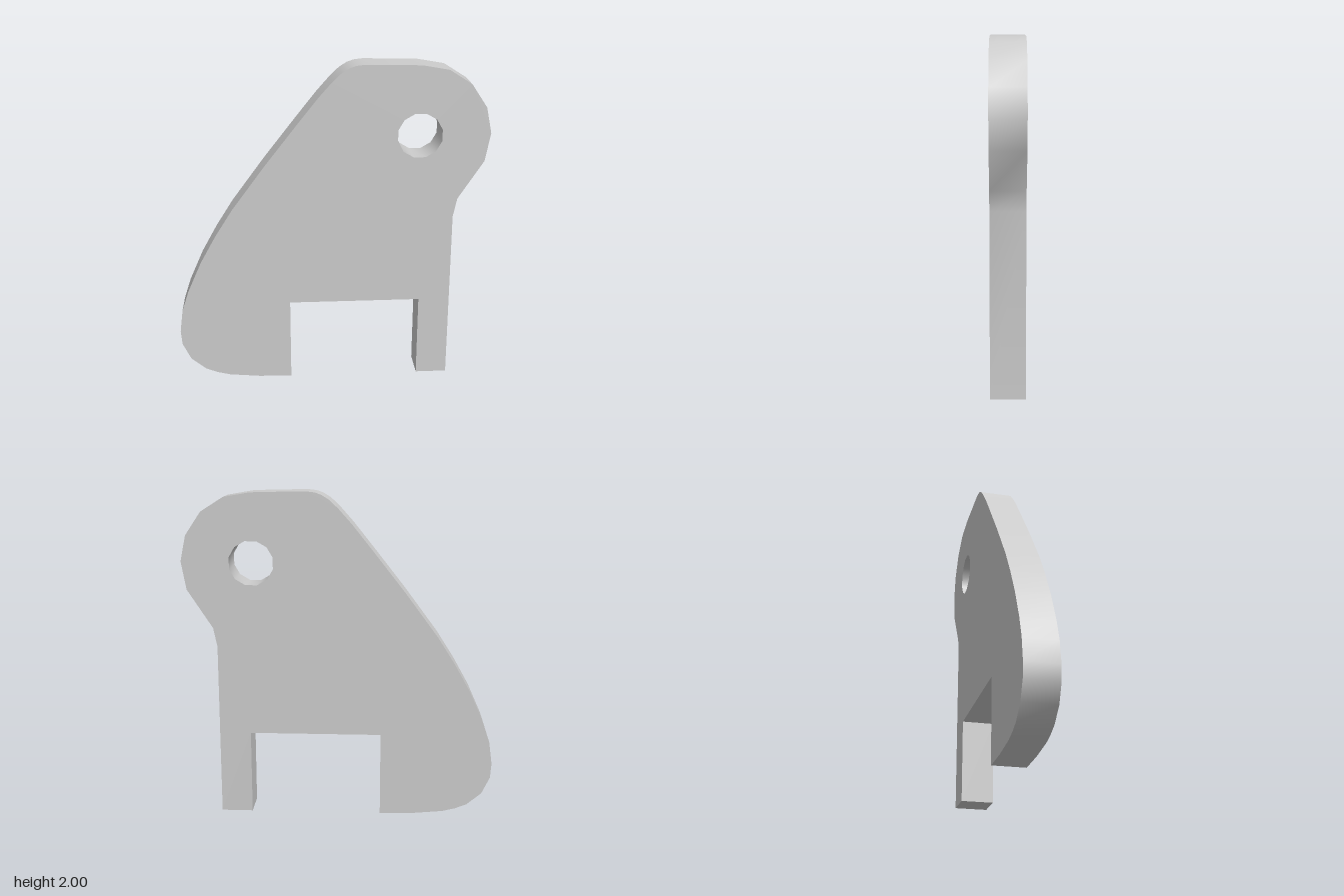
import * as THREE from 'three';
import { toCreasedNormals } from 'three/addons/utils/BufferGeometryUtils.js';

const THICKNESS = 0.2;

// Clockwise outline, from the left foot around the lobe to the right leg
const OUTLINE = [
  [-0.26, 0], [-0.46, 0.004], [-0.65, 0.022], [-0.73, 0.042], [-0.8, 0.07],
  [-0.89, 0.145], [-0.94, 0.25], [-0.947, 0.34], [-0.928, 0.48], [-0.885, 0.61],
  [-0.8, 0.8], [-0.705, 0.97], [-0.6, 1.135], [-0.4, 1.405], [-0.2, 1.66],
  [-0.08, 1.81], [0, 1.9], [0.055, 1.952], [0.1, 1.98], [0.14, 1.994],
  [0.19, 2], [0.36, 1.997], [0.52, 1.993], [0.68, 1.965], [0.815, 1.88],
  [0.91, 1.74], [0.943, 1.585], [0.913, 1.415], [0.76, 1.18], [0.737, 1.065],
  [0.737, 0],
];

// Rectangular slot between the two feet
const SLOT = [[0.545, 0], [0.545, 0.517], [-0.26, 0.517]];

const toPoints = (pairs) => pairs.map(([x, y]) => new THREE.Vector2(x, y));

function polygonHole(cx, cy, radius, sides) {
  const points = [];
  for (let i = 0; i < sides; i++) {
    const a = ((i + 0.5) / sides) * Math.PI * 2;
    points.push(new THREE.Vector2(cx + radius * Math.cos(a), cy + radius * Math.sin(a)));
  }
  return new THREE.Path(points);
}

export function createModel() {
  const group = new THREE.Group();
  group.name = 'bracket';

  // Flat plate with a twelve-sided pivot hole
  const shape = new THREE.Shape(toPoints([...OUTLINE, ...SLOT]));
  shape.holes.push(polygonHole(0.522, 1.576, 0.136, 12));

  const geometry = new THREE.ExtrudeGeometry(shape, { depth: THICKNESS, bevelEnabled: false });
  geometry.translate(0, 0, -THICKNESS / 2);

  // Rounded edges shade smoothly, corners stay sharp
  const plate = new THREE.Mesh(
    toCreasedNormals(geometry, THREE.MathUtils.degToRad(40)),
    new THREE.MeshStandardMaterial({ color: 0xcccccc }),
  );
  plate.name = 'plate';
  group.add(plate);
  return group;
}
